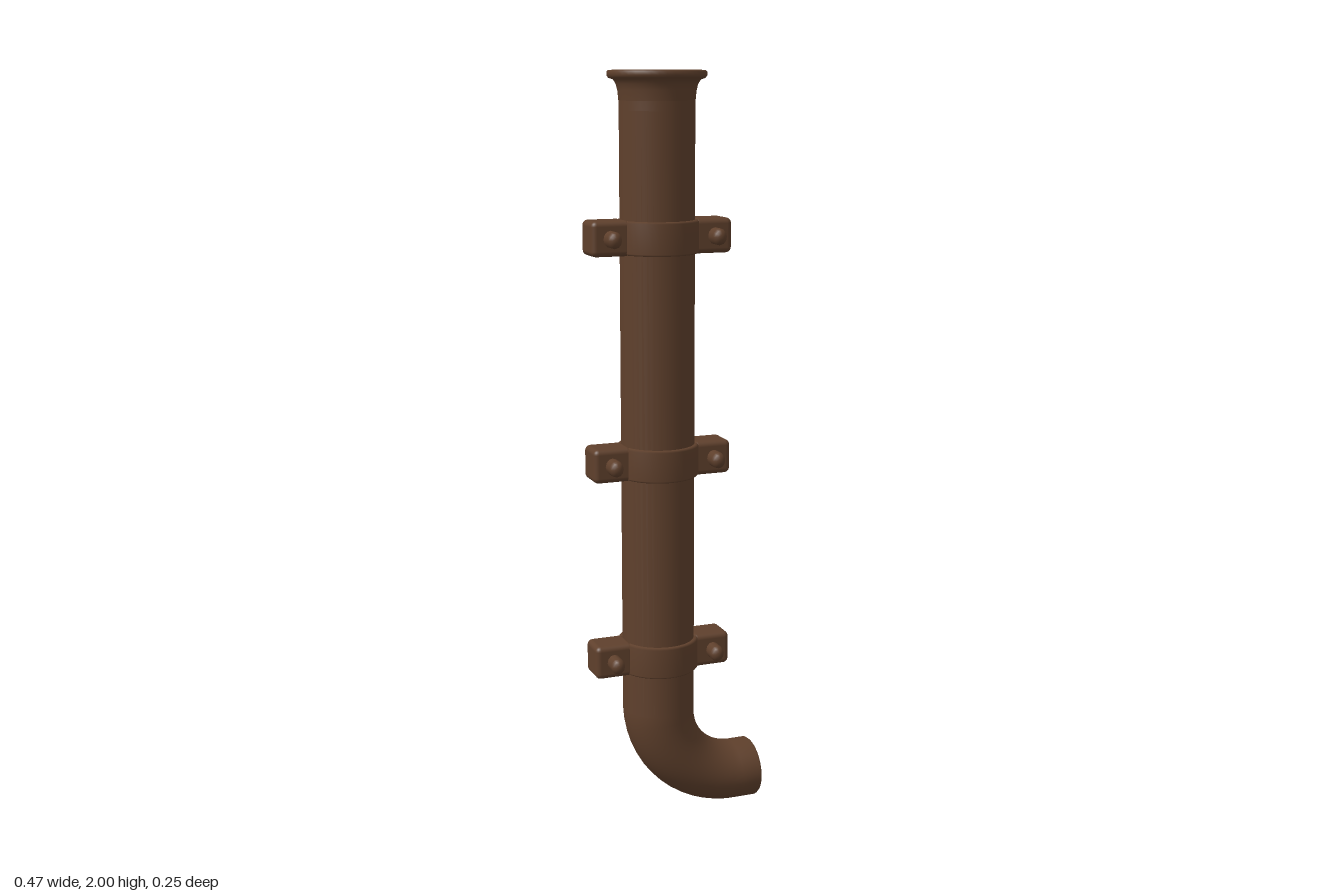
import * as THREE from 'three';
import { RoundedBoxGeometry } from 'three/addons/geometries/RoundedBoxGeometry.js';

const AXIS = -0.043; // x of the vertical pipe
const BEND = { x: 0.177, y: 0.302, r: 0.22 };

// Sweeps an elliptical ring through stations { x, y, turn, a, b };
// turn 0 points down, PI/2 points to +x
function sweep(stations, sides) {
  const pos = [], index = [];
  stations.forEach((s, i) => {
    for (let j = 0; j < sides; j++) {
      const t = (j / sides) * Math.PI * 2, c = Math.cos(t) * s.a;
      pos.push(s.x + Math.cos(s.turn) * c, s.y + Math.sin(s.turn) * c, Math.sin(t) * s.b);
      if (i === stations.length - 1) continue;
      const k = (j + 1) % sides, A = i * sides + j, B = i * sides + k;
      index.push(A, B, A + sides, B, B + sides, A + sides);
    }
  });
  const g = new THREE.BufferGeometry();
  g.setAttribute('position', new THREE.Float32BufferAttribute(pos, 3));
  g.setIndex(index);
  g.computeVertexNormals();
  return g;
}

// Stations on the straight pipe from [radius, y] pairs
const straight = (pairs) => pairs.map(([r, y]) => ({ x: AXIS, y, turn: 0, a: r, b: r }));

// Stations round the elbow to the outlet, narrowing slightly
function elbow(wall) {
  const list = [], steps = 14;
  for (let i = 0; i <= steps; i++) {
    const f = i / steps, turn = f * Math.PI / 2;
    list.push({
      x: BEND.x - BEND.r * Math.cos(turn), y: BEND.y - BEND.r * Math.sin(turn), turn,
      a: 0.097 - 0.017 * f - wall, b: 0.097 - 0.008 * f - wall,
    });
  }
  const end = list[steps];
  list.push({ ...end, x: 0.228 });
  return list;
}

function createModel() {
  const model = new THREE.Group();
  model.name = 'drainpipe';
  const brown = new THREE.MeshStandardMaterial({ color: 0x5f402c });
  brown.name = 'brown';

  const add = (parent, name, geometry, x = 0, y = 0, z = 0) => {
    const mesh = new THREE.Mesh(geometry, brown);
    mesh.name = name;
    mesh.position.set(x, y, z);
    parent.add(mesh);
    return mesh;
  };

  // Hollow pipe: down the outside, round the outlet rim, back up the bore
  const outer = elbow(0), inner = elbow(0.02).reverse();
  const last = outer[outer.length - 1], first = inner[0];
  const rim = [
    { ...last, x: 0.233, a: last.a - 0.004, b: last.b - 0.004 },
    { ...last, x: 0.233, a: last.a - 0.004, b: last.b - 0.004 },
    { ...first, x: 0.233 }, { ...first, x: 0.233 },
  ];
  add(model, 'pipe', sweep([
    ...straight([[0.098, 1.95], [0.097, 1.9]]), ...outer, ...rim, ...inner,
    ...straight([[0.077, 1.9], [0.078, 1.94]]),
  ], 40));

  // Flared collar at the top
  add(model, 'collar', sweep(straight([
    [0.105, 2], [0.123, 2], [0.127, 1.996], [0.127, 1.987], [0.123, 1.981],
    [0.111, 1.977], [0.104, 1.966], [0.1, 1.95], [0.097, 1.92],
    [0.097, 1.92], [0.077, 1.92], [0.077, 1.92],
    [0.08, 1.95], [0.089, 1.98], [0.098, 1.995], [0.105, 2],
  ]), 40));

  // Clamps: band, two ears and a bolt through each ear
  const band = sweep(straight([
    [0.09, 0.043], [0.103, 0.043], [0.108, 0.038], [0.108, -0.038], [0.103, -0.043], [0.09, -0.043],
  ]).map((s) => ({ ...s, x: 0 })), 40);
  const ear = new RoundedBoxGeometry(0.105, 0.09, 0.09, 3, 0.014);
  const bolt = new THREE.CapsuleGeometry(0.019, 0.15, 5, 12).rotateX(Math.PI / 2);
  for (const y of [1.585, 0.998, 0.46]) {
    const clamp = new THREE.Group();
    clamp.name = 'clamp';
    clamp.position.set(AXIS, y, 0);
    add(clamp, 'band', band);
    for (const side of [-1, 1]) {
      add(clamp, 'ear', ear, side * 0.1385);
      add(clamp, 'bolt', bolt, side * 0.142).scale.y = 1.15;
    }
    model.add(clamp);
  }
  return model;
}

export { createModel };
